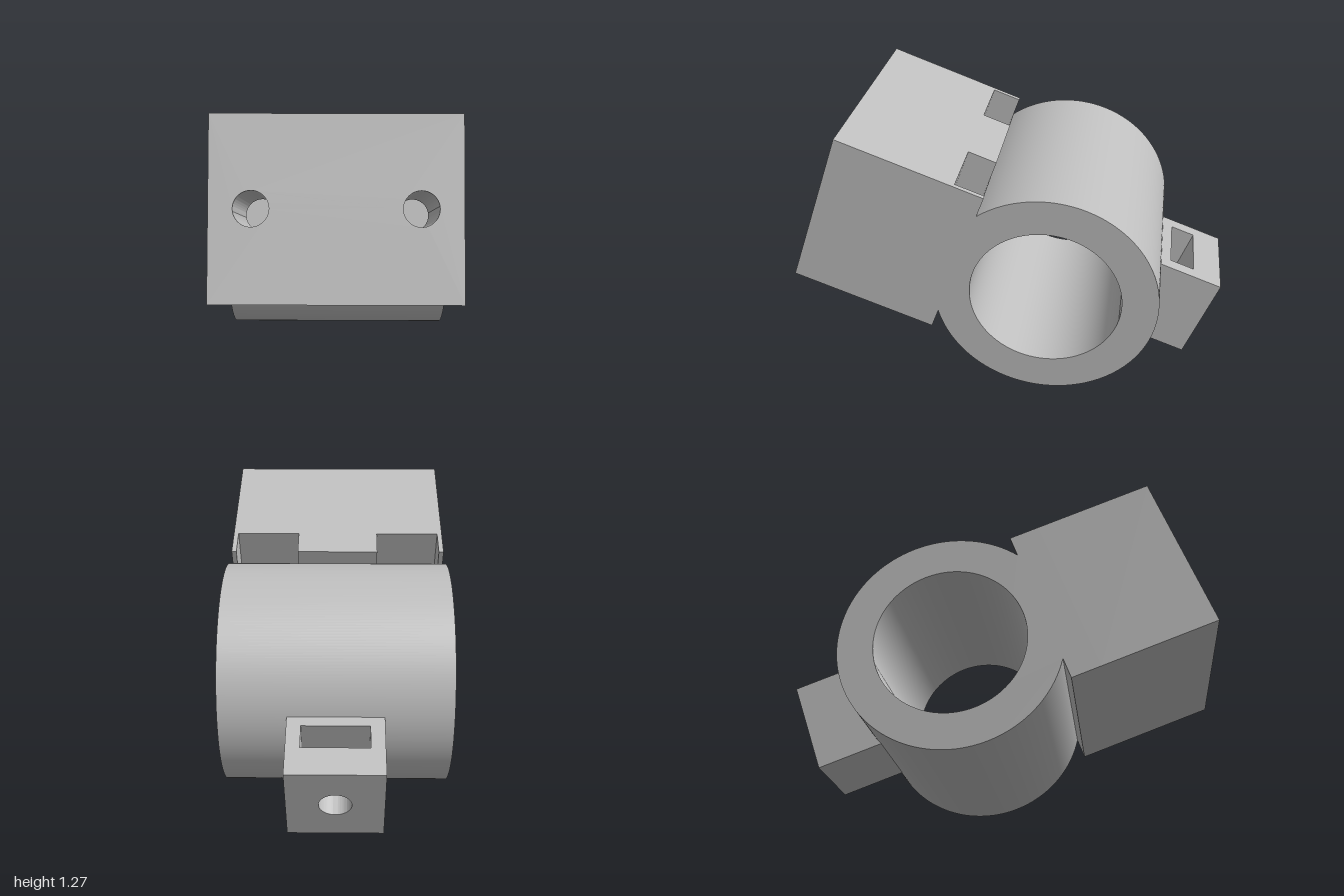
import * as THREE from 'three';
import { toCreasedNormals } from 'three/addons/utils/BufferGeometryUtils.js';

const TILT = THREE.MathUtils.degToRad(20);
const RING_R = 0.52, BORE_R = 0.352, HALF_W = 0.52;
const FLAT = 0.433; // plane where the clamp block meets the ring

export function createModel() {
  const grey = new THREE.MeshStandardMaterial({ color: 0xbfbfbf });
  grey.name = 'plain grey';

  const model = new THREE.Group();
  model.name = 'clampBracket';
  const body = new THREE.Group();
  body.name = 'tiltedBody';
  body.position.set(0, 0.523, -0.19);
  body.rotation.x = -TILT;
  model.add(body);

  // extrude a shape along z from z0 to z1
  function slab(name, shape, z0, z1) {
    let geo = new THREE.ExtrudeGeometry(shape, { depth: z1 - z0, bevelEnabled: false, curveSegments: 96 });
    geo.translate(0, 0, z0);
    geo = toCreasedNormals(geo, 0.4);
    const mesh = new THREE.Mesh(geo, grey);
    mesh.name = name;
    body.add(mesh);
    return mesh;
  }

  // rectangle with round screw holes at the given x positions
  function drilled(hw, hh, xs, r) {
    const s = new THREE.Shape();
    s.moveTo(-hw, -hh).lineTo(hw, -hh).lineTo(hw, hh).lineTo(-hw, hh).closePath();
    for (const x of xs) s.holes.push(new THREE.Path().absarc(x, 0, r, 0, Math.PI * 2, true));
    return s;
  }

  // rectangle with nut slots open at the top and half-hexagon bottoms
  function slotted(hw, hh, xs, r) {
    const s = new THREE.Shape();
    s.moveTo(-hw, hh).lineTo(-hw, -hh).lineTo(hw, -hh).lineTo(hw, hh);
    const drop = -r * Math.sqrt(3) / 2;
    for (const x of [...xs].sort((a, b) => b - a)) {
      s.lineTo(x + r, hh).lineTo(x + r, 0).lineTo(x + r / 2, drop);
      s.lineTo(x - r / 2, drop).lineTo(x - r, 0).lineTo(x - r, hh);
    }
    s.closePath();
    return s;
  }

  // ring, cut flat on the side that meets the block
  const a = Math.PI - Math.acos(FLAT / RING_R);
  const ring = new THREE.Shape();
  ring.absarc(0, 0, RING_R, -a, a, false);
  ring.closePath();
  ring.holes.push(new THREE.Path().absarc(0, 0, BORE_R, 0, Math.PI * 2, true));
  slab('ring', ring, -HALF_W, HALF_W).rotation.y = Math.PI / 2;

  // clamp block: nut pockets at the rear, screw holes through the front
  const screws = [-0.346, 0.346];
  slab('blockNutPockets', slotted(HALF_W, 0.388, screws, 0.151), FLAT, 0.572);
  slab('blockFront', drilled(HALF_W, 0.388, screws, 0.074), 0.572, 1.125);

  // small boss on the back with its own nut pocket and screw hole
  slab('bossRoot', drilled(0.215, 0.216, [], 0), -0.522, -0.4);
  slab('bossNutPocket', slotted(0.215, 0.216, [0], 0.151), -0.64, -0.522);
  slab('bossEnd', drilled(0.215, 0.216, [0], 0.072), -0.782, -0.64);

  return model;
}
